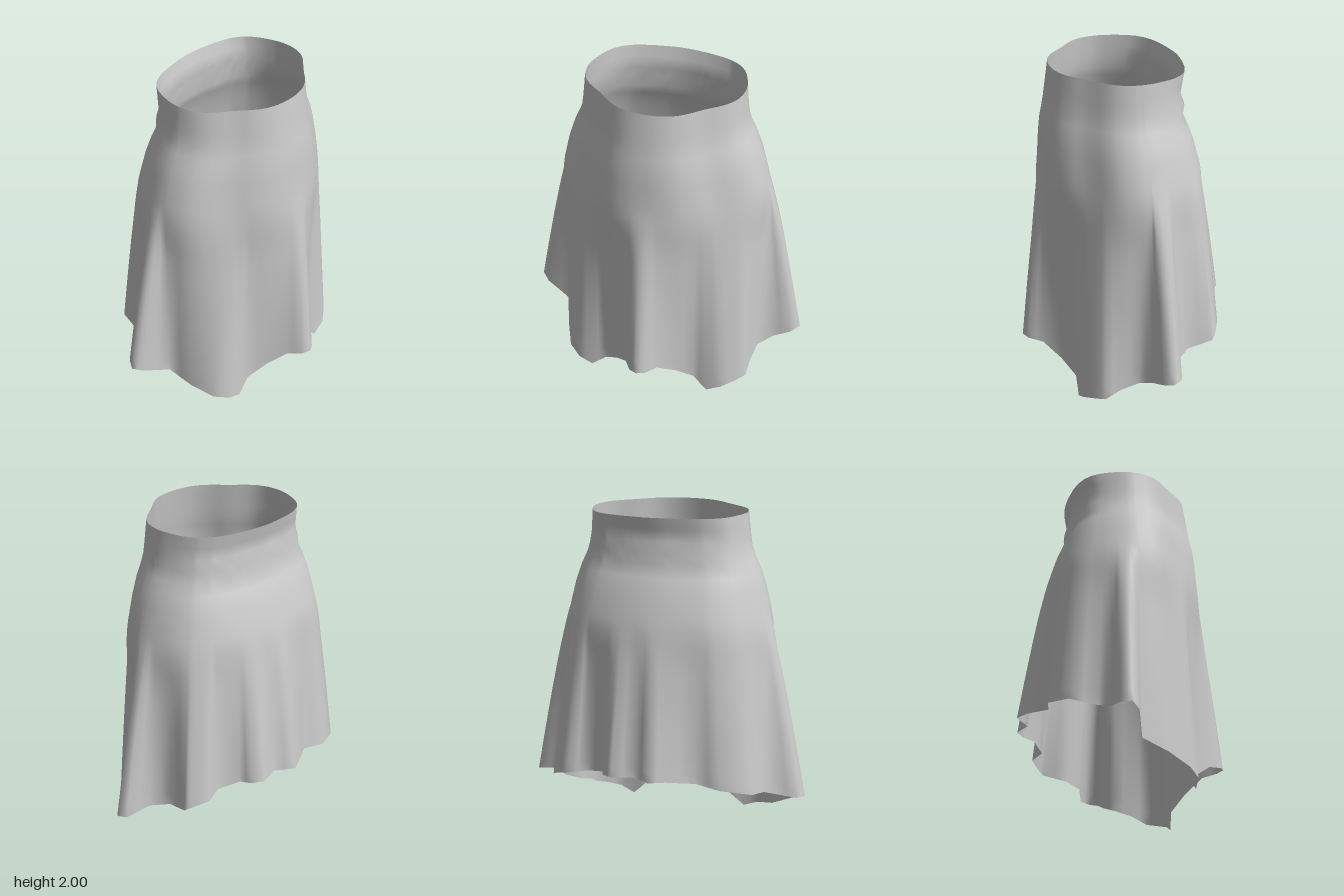
import * as THREE from 'three';

// Fitted upper part: height, half width, front z, back z
const PROFILE = [
  [2.0, 0.465, 0.40, -0.36], [1.93, 0.472, 0.41, -0.345], [1.86, 0.48, 0.42, -0.33],
  [1.79, 0.49, 0.43, -0.36], [1.73, 0.512, 0.44, -0.345], [1.66, 0.545, 0.453, -0.38],
  [1.56, 0.58, 0.462, -0.42], [1.42, 0.615, 0.47, -0.46],
];
// Unfolded hem, which the cloth heads for before the folds open
const FLARE = [0.3, 0.85, 0.6, -0.59];
const MID_Z = -0.01;

// Hem line [x, y, z], from the front centre round by +x and the back
const HEM = [
  [0, 0.27, 0.615], [0.05, 0.265, 0.59], [0.1, 0.25, 0.51], [0.19, 0.17, 0.42],
  [0.29, 0.09, 0.355], [0.38, 0.005, 0.365], [0.47, 0.05, 0.36], [0.55, 0.08, 0.31],
  [0.605, 0.1, 0.26], [0.61, 0.15, 0.17], [0.63, 0.19, 0.06], [0.71, 0.23, 0],
  [0.82, 0.28, -0.02], [0.87, 0.3, -0.07], [0.845, 0.31, -0.13], [0.69, 0.34, -0.16],
  [0.61, 0.36, -0.25], [0.625, 0.4, -0.4], [0.595, 0.42, -0.43], [0.5, 0.45, -0.48],
  [0.39, 0.46, -0.43], [0.27, 0.49, -0.49], [0.24, 0.5, -0.56], [0.175, 0.505, -0.6],
  [0.05, 0.5, -0.55], [-0.06, 0.505, -0.62], [-0.15, 0.5, -0.565], [-0.3, 0.47, -0.46],
  [-0.45, 0.45, -0.475], [-0.62, 0.41, -0.38], [-0.65, 0.37, -0.22], [-0.72, 0.34, -0.16],
  [-0.83, 0.32, -0.13], [-0.87, 0.315, -0.07], [-0.82, 0.29, -0.025], [-0.64, 0.2, 0.02],
  [-0.61, 0.14, 0.17], [-0.55, 0.08, 0.3], [-0.47, 0.05, 0.36], [-0.38, 0.015, 0.365],
  [-0.29, 0.09, 0.355], [-0.19, 0.17, 0.42], [-0.1, 0.25, 0.51], [-0.05, 0.265, 0.59],
];
const SPLIT = 2;
const FOLD_ROWS = 16;

// Point on a body ring: an oval flattened on the front diagonals, fuller at the back ones
function ringPoint([y, w, front, back], angle) {
  const s = Math.sin(angle), c = Math.cos(angle);
  const low = THREE.MathUtils.smoothstep(2 - y, 0, 0.55);
  const diagonal = Math.pow(Math.sin(2 * angle), 4);
  const r = 1 + diagonal * (c > 0 ? -0.09 - 0.02 * low : 0.07 - 0.03 * low);
  return new THREE.Vector3(
    w * s * r, y, MID_Z + c * r * (c > 0 ? front - MID_Z : MID_Z - back));
}

// One column of cloth, from the waist to a point on the hem
function column(hem) {
  const angle = Math.atan2(hem.x / 0.66, (hem.z - MID_Z) / 0.5);
  const points = PROFILE.map((ring) => ringPoint(ring, angle));
  const hip = points[points.length - 1];
  const flare = ringPoint(FLARE, angle);
  for (let i = 1; i <= FOLD_ROWS; i++) {
    const t = i / FOLD_ROWS;
    const target = flare.clone().lerp(hem, THREE.MathUtils.smoothstep(t, -0.2, 0.3));
    const point = hip.clone().lerp(target, Math.pow(t, 0.84));
    point.y = THREE.MathUtils.lerp(hip.y, hem.y, t);
    points.push(point);
  }
  return points;
}

export function createModel() {
  const rows = PROFILE.length + FOLD_ROWS;
  const count = HEM.length * SPLIT;
  const positions = [], indices = [];

  // Columns around the hem
  for (let j = 0; j < count; j++) {
    const k = Math.floor(j / SPLIT);
    const a = new THREE.Vector3(...HEM[k]);
    const b = new THREE.Vector3(...HEM[(k + 1) % HEM.length]);
    for (const p of column(a.lerp(b, (j % SPLIT) / SPLIT))) positions.push(p.x, p.y, p.z);
  }

  // Join neighbouring columns, facing outwards
  for (let j = 0; j < count; j++) {
    const left = j * rows, right = ((j + 1) % count) * rows;
    for (let i = 0; i < rows - 1; i++) {
      indices.push(left + i, left + i + 1, right + i + 1, left + i, right + i + 1, right + i);
    }
  }

  const geometry = new THREE.BufferGeometry();
  geometry.setAttribute('position', new THREE.Float32BufferAttribute(positions, 3));
  geometry.setIndex(indices);
  geometry.computeVertexNormals();

  const skirt = new THREE.Mesh(geometry,
    new THREE.MeshStandardMaterial({ color: 0xcccccc, side: THREE.DoubleSide }));
  skirt.name = 'skirt';

  const group = new THREE.Group();
  group.name = 'flaredSkirt';
  group.add(skirt);
  return group;
}
